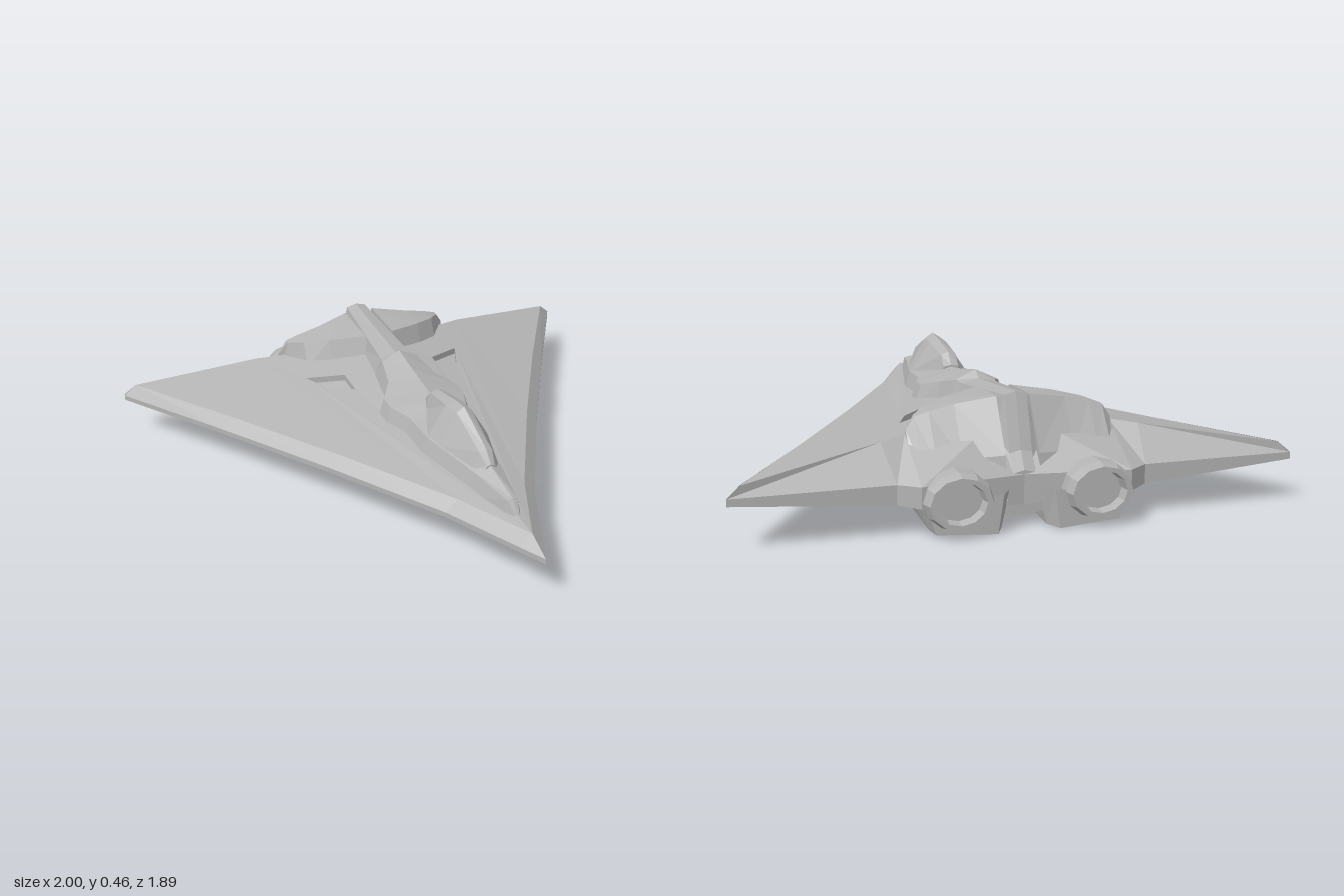
import * as THREE from 'three';

const hull = new THREE.MeshStandardMaterial({ color: 0xb4b4b4, flatShading: true, side: THREE.DoubleSide });
hull.name = 'hull grey';

function addMesh(parent, name, geo) {
  const mesh = new THREE.Mesh(geo, hull);
  mesh.name = name;
  parent.add(mesh);
  return mesh;
}

// Skin over rows of [x, y, z]; optionally closes each row into a ring and caps both ends
function loft(rows, { closed = false, caps = false } = {}) {
  const pos = [];
  const n = rows[0].length;
  const tri = (a, b, c) => pos.push(...a, ...b, ...c);
  for (let i = 0; i < rows.length - 1; i++) {
    for (let j = 0; j < (closed ? n : n - 1); j++) {
      const k = (j + 1) % n;
      const a = rows[i][j], b = rows[i][k], c = rows[i + 1][k], d = rows[i + 1][j];
      tri(a, d, b);
      tri(b, d, c);
    }
  }
  if (caps) {
    const last = rows[rows.length - 1];
    for (let j = 1; j < n - 1; j++) {
      tri(rows[0][0], rows[0][j], rows[0][j + 1]);
      tri(last[0], last[j + 1], last[j]);
    }
  }
  const geo = new THREE.BufferGeometry();
  geo.setAttribute('position', new THREE.Float32BufferAttribute(pos, 3));
  geo.computeVertexNormals();
  return geo;
}

// Symmetric body from stations [z, baseX, baseY, shoulderX, shoulderY, ridgeY]
function body(stations) {
  return loft(stations.map(([z, bx, by, sx, sy, ry]) => [
    [-bx, by, z], [-sx, sy, z], [0, ry, z], [sx, sy, z], [bx, by, z],
  ]), { caps: true });
}

// Flat outline in [x, z], lifted by a height rule; dir = 1 faces up, -1 faces down
function panel(outline, height, dir, hole) {
  const pts = (list) => list.map(([x, z]) => new THREE.Vector2(x, -dir * z));
  const shape = new THREE.Shape(pts(outline));
  if (hole) shape.holes.push(new THREE.Path(pts(hole)));
  const geo = new THREE.ShapeGeometry(shape);
  const p = geo.attributes.position;
  for (let i = 0; i < p.count; i++) {
    const x = p.getX(i), z = -dir * p.getY(i);
    p.setXYZ(i, x, height(x, z), z);
  }
  geo.computeVertexNormals();
  return geo;
}

// Leading edge [x, z] from nose to tip
const edge = [[0, 0.94], [0.045, 0.84], [0.18, 0.53], [0.45, 0.05], [0.72, -0.4], [1, -0.85]];
function halfWidth(z) {
  for (let i = 1; i < edge.length; i++) {
    const [x0, z0] = edge[i - 1], [x1, z1] = edge[i];
    if (z >= z1) return x0 + (x1 - x0) * (z0 - z) / (z0 - z1);
  }
  return 1;
}
const BEVEL = 0.045;
const topY = (x, z) => 0.225 + 0.18 * (halfWidth(z) - BEVEL - x);
const bottomY = (x, z) => 0.16 - 0.08 * (halfWidth(z) - x);

function buildSide() {
  const side = new THREE.Group();

  // Wing upper skin with a recessed vent
  const inner = edge.slice(1, 5).map(([x, z]) => [x - BEVEL, z]);
  inner.push([0.955, -0.84]);
  const fold = [[0.955, -0.84], [0.465, -0.72], [0.37, -0.68], [0, -0.68]];
  const vent = [[0.335, -0.47], [0.195, -0.4], [0.195, -0.285], [0.29, -0.36]];
  const floorY = (x, z) => topY(x, z) - 0.025;
  addMesh(side, 'wingTop', panel([...inner, ...fold.slice(1)], topY, 1, vent));
  addMesh(side, 'ventFloor', panel(vent, floorY, 1));
  addMesh(side, 'ventWalls', loft([topY, floorY].map((f) => vent.map(([x, z]) => [x, f(x, z), z])), { closed: true }));

  // Bevelled leading edge
  const innerEdge = [[0, 0.84], ...inner];
  addMesh(side, 'leadingEdge', loft([
    innerEdge.map(([x, z]) => [x, 0.225, z]),
    edge.map(([x, z]) => [x, 0.18, z]),
    edge.map(([x, z]) => [x, 0.16, z]),
  ]));

  // Sloping rear skin, trailing edge and underside
  const rear = [[1, -0.85], [0.44, -0.85], [0.37, -0.9], [0, -0.85]];
  addMesh(side, 'wingRear', loft([
    fold.map(([x, z]) => [x, topY(x, z), z]),
    rear.map(([x, z]) => [x, 0.185, z]),
    rear.map(([x, z]) => [x, bottomY(x, z), z]),
  ]));
  addMesh(side, 'wingUnderside', panel([...edge, ...rear.slice(1)], bottomY, -1));

  // Upper engine fairing: [x, then z, y pairs running front to back]
  const fairing = [
    [0.06, -0.46, 0.3, -0.5, 0.415, -0.72, 0.43, -0.83, 0.25, -0.86, 0.1],
    [0.2, -0.52, 0.3, -0.555, 0.4, -0.69, 0.405, -0.8, 0.24, -0.86, 0.1],
    [0.29, -0.57, 0.29, -0.61, 0.385, -0.69, 0.385, -0.8, 0.23, -0.86, 0.1],
    [0.34, -0.64, 0.28, -0.67, 0.37, -0.69, 0.37, -0.8, 0.22, -0.86, 0.1],
    [0.37, -0.68, 0.25, -0.685, 0.325, -0.69, 0.325, -0.8, 0.2, -0.86, 0.1],
  ];
  addMesh(side, 'engineFairing', loft(fairing.map(([x, ...zy]) =>
    [0, 2, 4, 6, 8].map((i) => [x, zy[i + 1], zy[i]])), { caps: true }));

  // Lower engine pod: [z, then x, y pairs]
  const pod = [
    [-0.45, 0.08, 0.12, 0.12, 0.07, 0.28, 0.075, 0.31, 0.12],
    [-0.49, 0.055, 0.12, 0.09, 0.025, 0.31, 0.04, 0.345, 0.12],
    [-0.58, 0.05, 0.12, 0.08, 0.018, 0.335, 0.035, 0.37, 0.12],
    [-0.85, 0.05, 0.14, 0.08, 0.004, 0.335, 0.022, 0.37, 0.13],
    [-0.91, 0.09, 0.14, 0.11, 0.004, 0.325, 0.02, 0.36, 0.13],
  ];
  addMesh(side, 'enginePod', loft(pod.map(([z, ...xy]) =>
    [0, 2, 4, 6].map((i) => [xy[i], xy[i + 1], z])), { caps: true }));

  // Nozzle with a recessed exhaust
  const profile = [[0.115, 0], [0.12, 0.06], [0.12, 0.19], [0.108, 0.23], [0.088, 0.23], [0.08, 0.18], [0, 0.18]]
    .map(([r, h]) => new THREE.Vector2(r, h));
  const nozzle = addMesh(side, 'nozzle', new THREE.LatheGeometry(profile, 12));
  nozzle.rotation.x = -Math.PI / 2;
  nozzle.scale.z = 0.83;
  nozzle.position.set(0.247, 0.13, -0.72);
  return side;
}

export function createModel() {
  const ship = new THREE.Group();
  ship.name = 'deltaShip';

  for (const s of [1, -1]) {
    const side = buildSide();
    side.name = s > 0 ? 'leftSide' : 'rightSide';
    side.scale.x = s;
    ship.add(side);
  }

  // Raised spine
  addMesh(ship, 'spine', body([
    [0.73, 0.015, 0.21, 0.01, 0.23, 0.23],
    [0.69, 0.035, 0.21, 0.02, 0.28, 0.285],
    [0.5, 0.085, 0.21, 0.055, 0.3, 0.33],
    [0.23, 0.145, 0.23, 0.115, 0.32, 0.355],
    [0.08, 0.15, 0.24, 0.12, 0.33, 0.37],
    [-0.02, 0.185, 0.24, 0.155, 0.335, 0.38],
    [-0.09, 0.185, 0.25, 0.155, 0.34, 0.39],
    [-0.17, 0.13, 0.26, 0.1, 0.365, 0.405],
    [-0.29, 0.11, 0.28, 0.075, 0.395, 0.43],
    [-0.33, 0.105, 0.28, 0.065, 0.39, 0.405],
    [-0.75, 0.07, 0.3, 0.04, 0.44, 0.45],
    [-0.81, 0.07, 0.2, 0.04, 0.25, 0.26],
    [-0.85, 0.07, 0.05, 0.04, 0.19, 0.2],
  ]));

  // Canopy
  addMesh(ship, 'canopy', body([
    [0.52, 0.03, 0.3, 0.015, 0.325, 0.33],
    [0.48, 0.05, 0.305, 0.025, 0.365, 0.375],
    [0.3, 0.1, 0.32, 0.03, 0.44, 0.46],
    [0.22, 0.11, 0.325, 0.035, 0.435, 0.452],
    [0.07, 0.05, 0.35, 0.03, 0.415, 0.425],
    [0.03, 0.035, 0.35, 0.03, 0.375, 0.38],
  ]));

  // Keel beneath the hull
  addMesh(ship, 'keel', body([
    [0.73, 0.015, 0.16, 0.01, 0.145, 0.14],
    [0.69, 0.04, 0.15, 0.025, 0.112, 0.105],
    [0.23, 0.145, 0.14, 0.11, 0.095, 0.085],
    [0.08, 0.15, 0.14, 0.12, 0.09, 0.08],
    [-0.02, 0.185, 0.13, 0.15, 0.088, 0.077],
    [-0.09, 0.185, 0.13, 0.15, 0.085, 0.074],
    [-0.17, 0.13, 0.13, 0.1, 0.08, 0.07],
    [-0.5, 0.09, 0.12, 0.06, 0.065, 0.057],
    [-0.85, 0.07, 0.12, 0.05, 0.05, 0.042],
  ]));

  return ship;
}
